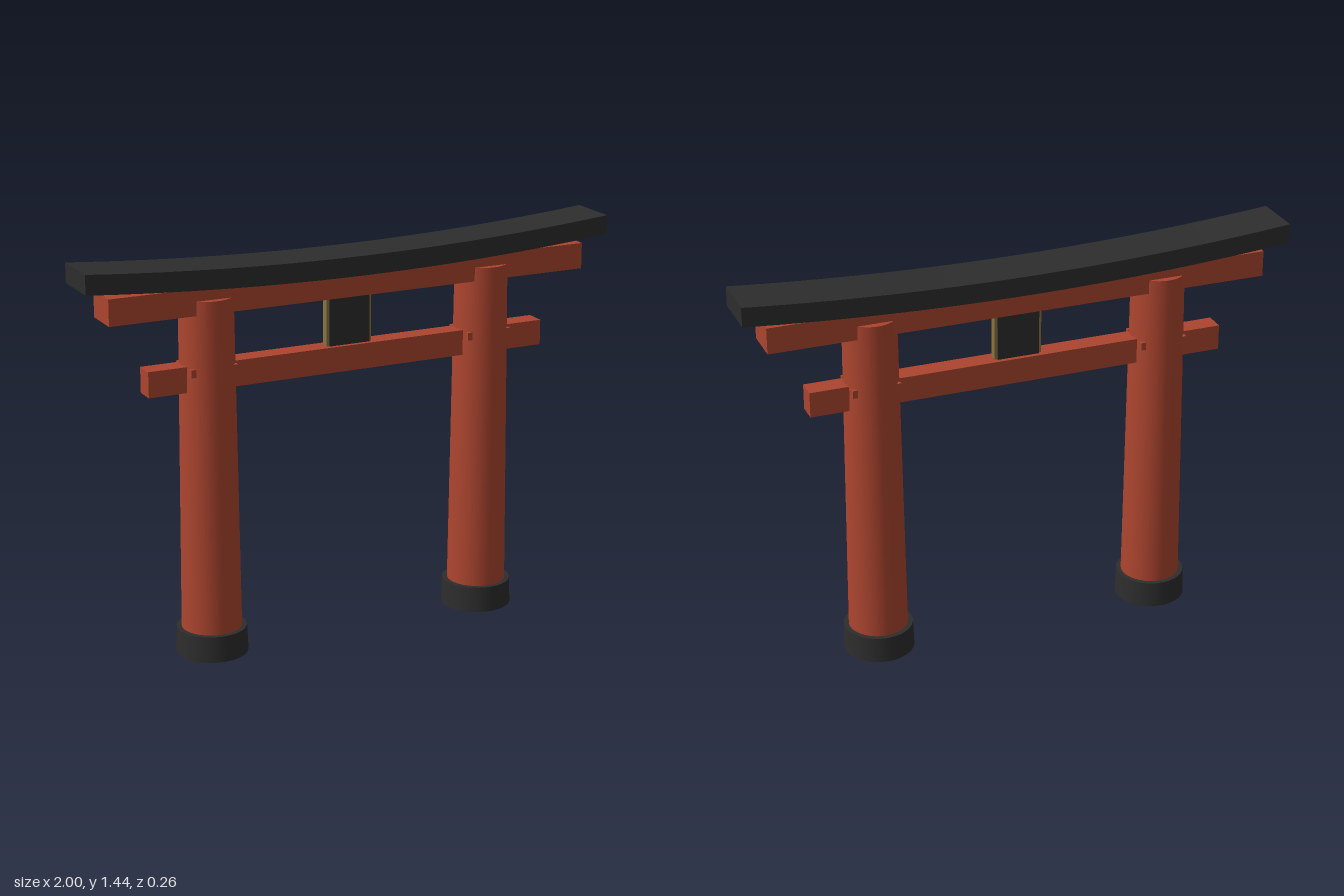
import * as THREE from 'three';

const mat = (name, color) => {
  const m = new THREE.MeshStandardMaterial({ color });
  m.name = name;
  return m;
};

export function createModel() {
  const red = mat('vermilion', 0xad452f);
  const black = mat('charcoal', 0x2d2d2d);
  const gold = mat('dull gold', 0x8a7340);

  const group = new THREE.Group();
  const add = (name, geometry, material, x = 0, y = 0, z = 0, parent = group) => {
    const mesh = new THREE.Mesh(geometry, material);
    mesh.name = name;
    mesh.position.set(x, y, z);
    parent.add(mesh);
    return mesh;
  };
  const box = (w, h, d) => new THREE.BoxGeometry(w, h, d);

  // Tapered pillars with footings and small wedges beside the tie beam
  for (const side of [1, -1]) {
    const post = new THREE.Group();
    post.name = side > 0 ? 'leftPost' : 'rightPost';
    post.position.x = side * 0.535;
    group.add(post);
    add('pillar', new THREE.CylinderGeometry(0.095, 0.108, 1.29, 32), red, 0, 0.655, 0, post);
    add('footing', new THREE.CylinderGeometry(0.125, 0.129, 0.095, 32), black, 0, 0.0475, 0, post);
    for (const sx of [1, -1])
      for (const sz of [1, -1])
        add('wedge', box(0.018, 0.028, 0.018), red, sx * 0.078, 1.048, sz * 0.06, post);
  }

  // Straight beams
  add('tieBeam', box(1.532, 0.092, 0.074), red, 0, 1.02);
  add('upperBeam', box(1.826, 0.094, 0.14), red, 0, 1.297);

  // Centre tablet: gold frame with dark board showing on both faces
  add('tabletFrame', box(0.174, 0.186, 0.03), gold, 0, 1.157);
  add('tabletBoard', box(0.154, 0.186, 0.042), black, 0, 1.157);

  // Top beam bent upward toward both ends
  const roof = box(2, 0.07, 0.19).toNonIndexed();
  roof.dispose();
  const bent = new THREE.BoxGeometry(2, 0.07, 0.19, 32, 1, 1);
  const p = bent.attributes.position;
  for (let i = 0; i < p.count; i++) p.setY(i, p.getY(i) + 0.045 * p.getX(i) ** 2);
  bent.computeVertexNormals();
  add('topBeam', bent, black, 0, 1.363);

  return group;
}
